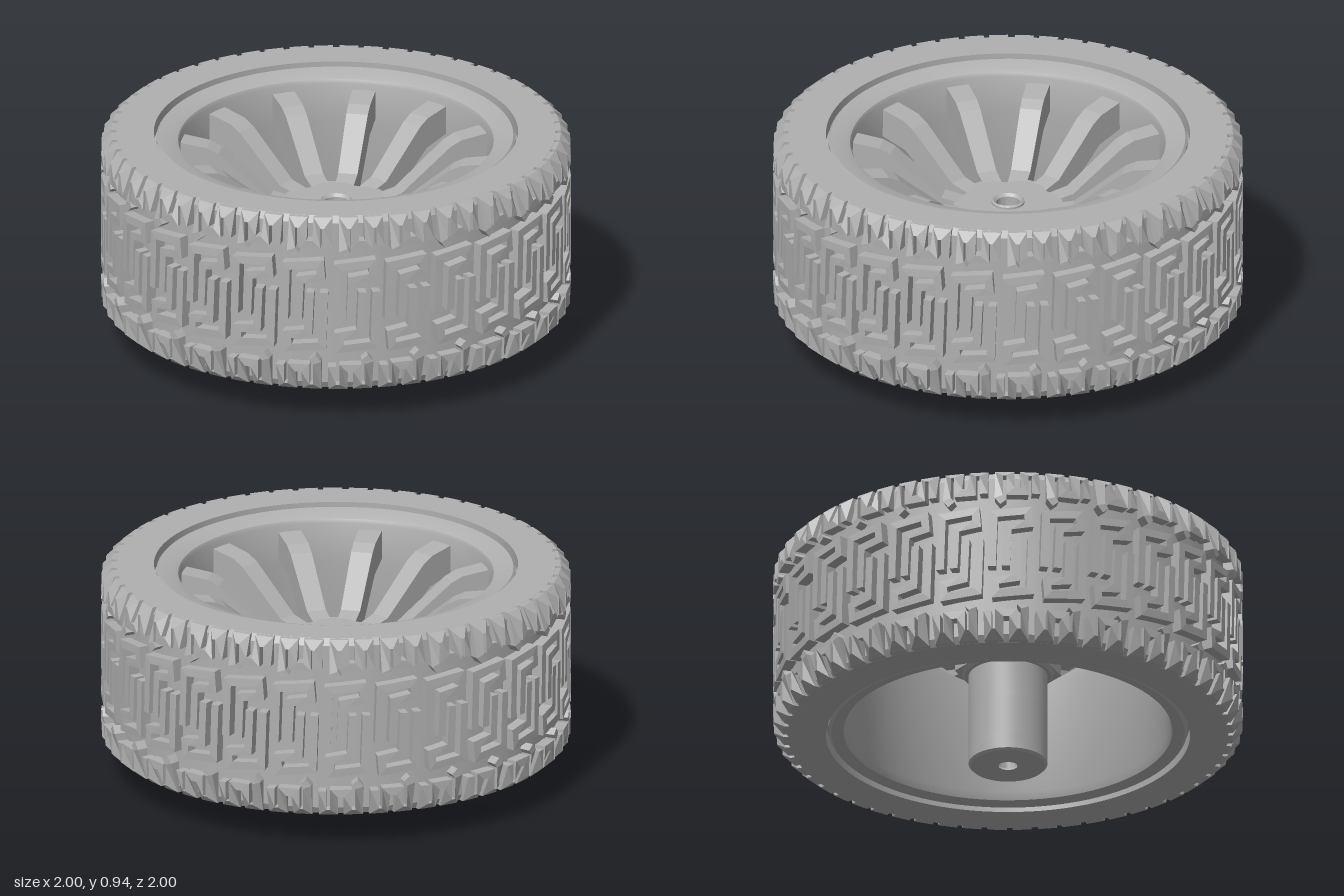
import * as THREE from 'three';
import { mergeGeometries, toCreasedNormals } from 'three/addons/utils/BufferGeometryUtils.js';

const MID = 0.54, COUNT = 28, BORE = 0.05, COLLAR = 0.168;
const V = (x, y) => new THREE.Vector2(x, y);
const grey = new THREE.MeshStandardMaterial({ color: 0xb0b0b0, side: THREE.DoubleSide });
grey.name = 'grey';

function part(name, geometry, parent) {
  const mesh = new THREE.Mesh(geometry, grey);
  mesh.name = name;
  parent.add(mesh);
  return mesh;
}

function lathe(points, segments = 96) {
  const g = new THREE.LatheGeometry(points.map(([r, y]) => V(r, y)), segments);
  return toCreasedNormals(g, 0.5);
}

// Upright slab cut from a plan outline, spanning y0 to y1, with the axle bore through it
function slab(outline, y0, y1) {
  const shape = new THREE.Shape(outline);
  shape.holes.push(new THREE.Path().absarc(0, 0, BORE, 0, Math.PI * 2, true));
  const g = new THREE.ExtrudeGeometry(shape, { depth: y1 - y0, bevelEnabled: false, curveSegments: 24 });
  g.rotateX(-Math.PI / 2).translate(0, y0, 0);
  return toCreasedNormals(g, 0.5);
}

// Moves flat points (x along the arc, y up, z outward) onto a cylinder
function bend(g, angle, radius) {
  const p = g.attributes.position;
  for (let i = 0; i < p.count; i++) {
    const a = angle(p.getX(i)), r = radius(p.getY(i), p.getZ(i));
    p.setXYZ(i, r * Math.sin(a), p.getY(i), r * Math.cos(a));
  }
  g.computeVertexNormals();
  return g;
}

// Mitred band of constant width along a path
function band(path, width) {
  const pts = path.map(([x, y]) => V(x, y)), left = [], right = [];
  pts.forEach((p, i) => {
    const a = p.clone().sub(pts[Math.max(i - 1, 0)]).normalize();
    const b = pts[Math.min(i + 1, pts.length - 1)].clone().sub(p).normalize();
    const d0 = i ? a : b, d1 = i < pts.length - 1 ? b : a;
    const n = V(-d0.y - d1.y, d0.x + d1.x).normalize();
    const s = width / 2 / Math.max(0.4, n.dot(V(-d0.y, d0.x)));
    left.push(p.clone().addScaledVector(n, s));
    right.unshift(p.clone().addScaledVector(n, -s));
  });
  return new THREE.Shape([...left, ...right]);
}

// Tread blocks: nested hooks in the middle, a meander on each shoulder
function treadGeometry() {
  const hook = [[-0.05, 0.475], [-0.042, 0.66], [0.05, 0.675], [0.045, 0.735], [-0.102, 0.72], [-0.11, 0.475]];
  const shoulder = [[-0.06, 0.775], [-0.08, 0.80], [-0.08, 0.917], [-0.03, 0.917], [-0.03, 0.825],
    [0.03, 0.825], [0.03, 0.917], [0.08, 0.917], [0.08, 0.815]];
  const turn = (path, cx) => path.map(([x, y]) => [2 * cx - x, 2 * MID - y]);
  const paths = [hook, turn(hook, -0.024), shoulder, turn(shoulder, -0.024)];
  // Outer radius, rounded off over the last 0.05 toward each sidewall
  const outer = (y, z) => {
    const t = THREE.MathUtils.clamp((Math.abs(y - MID) - 0.345) / 0.05, 0, 1);
    return z > 0 ? 0.95 + 0.05 * Math.sqrt(1 - t * t) : 0.92;
  };
  const all = [];
  for (const path of paths) {
    const flat = new THREE.ExtrudeGeometry(band(path, 0.035), { depth: 0.08, bevelEnabled: false });
    for (let i = 0; i < COUNT; i++) {
      all.push(bend(flat.clone(), x => x + (i * Math.PI * 2) / COUNT, outer));
    }
  }
  return mergeGeometries(all);
}

// Spoke: side profile extruded across its width, narrowing toward the hub
function spokeGeometry() {
  const profile = [[0.17, 0.50], [0.28, 0.50], [0.54, 0.70], [0.68, 0.73], [0.68, 0.855],
    [0.55, 0.835], [0.50, 0.81], [0.28, 0.625], [0.17, 0.60]];
  const g = new THREE.ExtrudeGeometry(new THREE.Shape(profile.map(([x, y]) => V(x, y))),
    { depth: 0.1, bevelEnabled: false }).translate(0, 0, -0.05);
  const p = g.attributes.position;
  for (let i = 0; i < p.count; i++) p.setZ(i, p.getZ(i) * (0.72 + 0.42 * p.getX(i)));
  g.computeVertexNormals();
  return g;
}

function addCollar(parent) {
  const collar = new THREE.Group();
  collar.name = 'axleCollar';
  parent.add(collar);
  const y0 = 0.08, y1 = 0.26, yc = 0.17, hole = 0.055, half = 0.09, a = half / COLLAR;

  part('collarBase', lathe([[BORE, 0.6], [BORE, 0.012], [BORE - 0.01, 0], [0.158, 0], [COLLAR, 0.01], [COLLAR, y0]], 48), collar);
  part('collarTop', lathe([[COLLAR, y1], [COLLAR, 0.44]], 48), collar);
  part('collarMiddle', new THREE.CylinderGeometry(COLLAR, COLLAR, y1 - y0, 40, 1, true,
    Math.PI / 2 + a, Math.PI * 2 - 2 * a).translate(0, yc, 0), collar);

  // Curved patch pierced by the set-screw hole
  const edge = [], corners = [[-1, -1], [1, -1], [1, 1], [-1, 1]];
  corners.forEach(([x, y], i) => {
    const [nx, ny] = corners[(i + 1) % 4];
    for (let k = 0; k < 8; k++) {
      edge.push(V((x + ((nx - x) * k) / 8) * half, yc + (y + ((ny - y) * k) / 8) * half));
    }
  });
  const shape = new THREE.Shape(edge);
  shape.holes.push(new THREE.Path().absarc(0, yc, hole, 0, Math.PI * 2, true));
  const patch = new THREE.ShapeGeometry(shape, 16);
  part('screwHolePatch', bend(patch, x => Math.PI / 2 + x / COLLAR, () => COLLAR), collar);

  // Wall of the hole, trimmed to the curved surface
  const wall = new THREE.CylinderGeometry(hole, hole, 0.1, 32, 1, true).rotateZ(-Math.PI / 2);
  const p = wall.attributes.position;
  for (let i = 0; i < p.count; i++) {
    const z = p.getZ(i);
    p.setX(i, p.getX(i) > 0 ? Math.sqrt(COLLAR * COLLAR - z * z) : 0.04);
  }
  part('screwHoleWall', wall.translate(0, yc, 0), collar);
}

export function createModel() {
  const wheel = new THREE.Group();
  wheel.name = 'wheel';

  // Tyre carcass and raised tread
  part('tyre', lathe([[0.775, 0.935], [0.775, 0.145], [0.935, 0.145], [0.952, 0.175],
    [0.952, 0.905], [0.935, 0.935], [0.775, 0.935]], 112), wheel);
  part('tread', treadGeometry(), wheel);

  // Rim barrel with sloping lips
  part('rim', lathe([[0.665, 0.88], [0.668, 0.70], [0.69, 0.20], [0.70, 0.165], [0.752, 0.155], [0.764, 0.17],
    [0.764, 0.2], [0.79, 0.21], [0.79, 0.87], [0.764, 0.88], [0.764, 0.91], [0.755, 0.92],
    [0.69, 0.905], [0.672, 0.896], [0.665, 0.88]]), wheel);

  // Twelve spokes
  const spoke = spokeGeometry();
  for (let i = 0; i < 12; i++) {
    part('spoke', spoke, wheel).rotation.y = THREE.MathUtils.degToRad(9 + i * 30);
  }

  // Hub plate with six rounded notches
  const outline = [];
  for (let i = 0; i < 144; i++) {
    const t = (i / 144) * Math.PI * 2;
    const c = Math.max(0, Math.cos(6 * (t - THREE.MathUtils.degToRad(24))));
    const r = 0.232 - 0.035 * Math.sqrt(c);
    outline.push(V(r * Math.cos(t), r * Math.sin(t)));
  }
  part('hubPlate', slab(outline, 0.50, 0.61), wheel);
  part('boreRing', lathe([[BORE, 0.58], [0.07, 0.58], [0.07, 0.618], [0.062, 0.624], [BORE, 0.612], [BORE, 0.58]], 48), wheel);

  // Hexagonal flange under the hub, chamfered below
  const hex = r => Array.from({ length: 6 }, (_, i) => V(r * Math.cos((i * Math.PI) / 3), r * Math.sin((i * Math.PI) / 3)));
  part('hexFlange', slab(hex(0.228), 0.435, 0.505), wheel);
  part('flangeChamfer', lathe([[0.165, 0.42], [0.185, 0.42], [0.197, 0.436]], 48), wheel);

  addCollar(wheel);
  return wheel;
}
